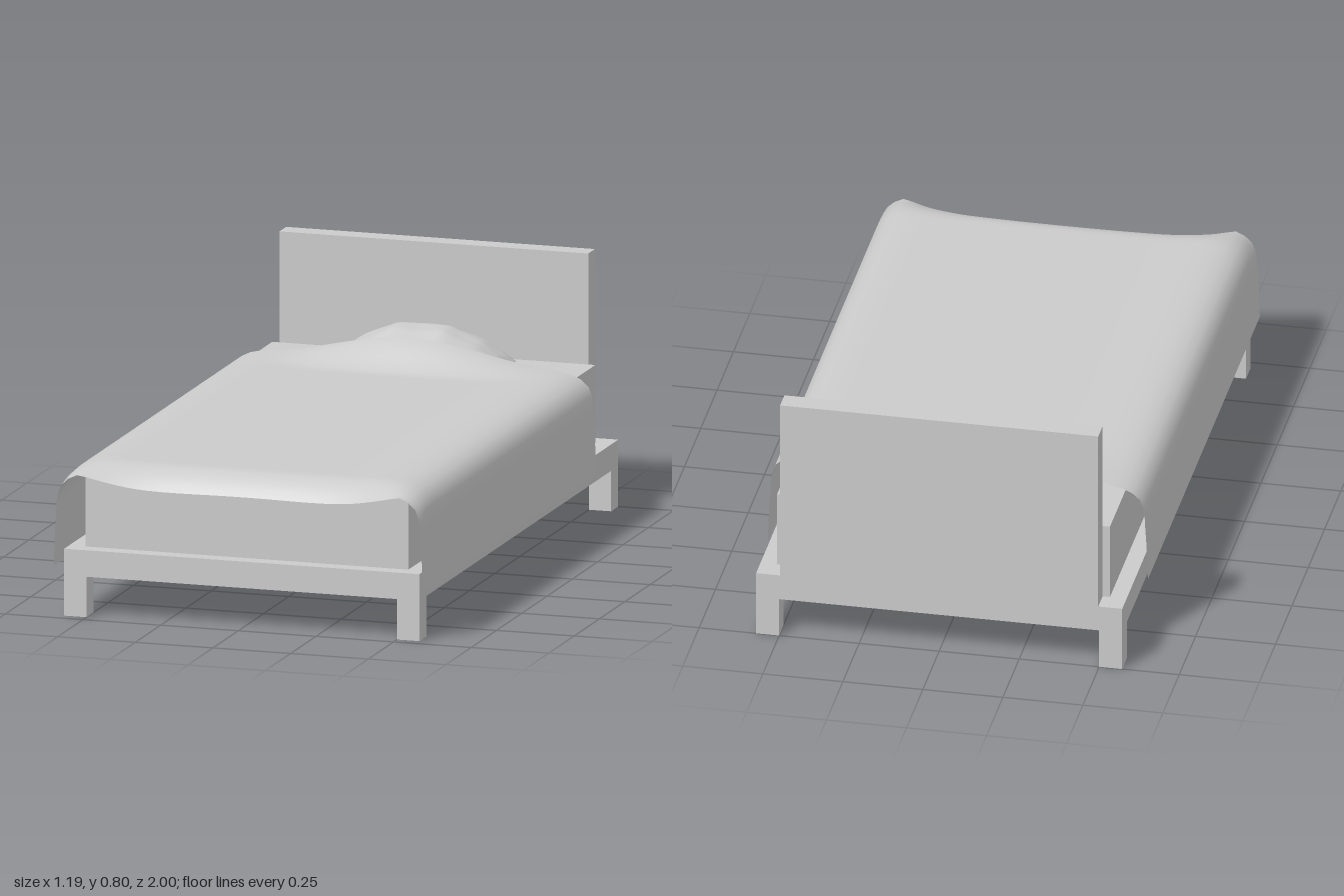
import * as THREE from 'three';

const material = new THREE.MeshStandardMaterial({ color: 0xcccccc });
const clothMaterial = new THREE.MeshStandardMaterial({ color: 0xcccccc, side: THREE.DoubleSide });

// Box given by its lower and upper limits on each axis
function box(name, [x0, x1], [y0, y1], [z0, z1]) {
  const mesh = new THREE.Mesh(new THREE.BoxGeometry(x1 - x0, y1 - y0, z1 - z0), material);
  mesh.position.set((x0 + x1) / 2, (y0 + y1) / 2, (z0 + z1) / 2);
  mesh.name = name;
  return mesh;
}

// Smooth cloth surface: place(u, v) returns [x, y, z] for u, v in 0..1
function cloth(name, columns, rows, place) {
  const geometry = new THREE.PlaneGeometry(1, 1, columns, rows);
  const position = geometry.attributes.position;
  for (let i = 0; i < position.count; i++) {
    position.setXYZ(i, ...place(position.getX(i) + 0.5, 0.5 - position.getY(i)));
  }
  geometry.computeVertexNormals();
  const mesh = new THREE.Mesh(geometry, clothMaterial);
  mesh.name = name;
  return mesh;
}

// Linear interpolation through [t, value] points
function along(points, t) {
  let i = 1;
  while (i < points.length - 1 && t > points[i][0]) i++;
  const [a, b] = [points[i - 1], points[i]];
  return THREE.MathUtils.mapLinear(THREE.MathUtils.clamp(t, a[0], b[0]), a[0], b[0], a[1], b[1]);
}

// Blanket: flat over the mattress, hanging at the sides, raised over the pillow
function blanket() {
  const hang = new THREE.CatmullRomCurve3([
    [0, 0.475], [0.3, 0.476], [0.48, 0.477], [0.535, 0.463], [0.573, 0.43], [0.587, 0.32], [0.594, 0.163],
  ].map(([x, y]) => new THREE.Vector3(x, y, 0)));
  return cloth('blanket', 56, 80, (u, v) => {
    const side = u * 2 - 1;
    const section = hang.getPointAt(Math.abs(side));
    const across = Math.min(section.x / 0.52, 1);
    const inner = Math.cos(across * Math.PI / 2) ** 2;
    const back = -0.715 + 0.025 * inner;
    const front = 1 - 0.028 * (1 - across ** 2);
    const z = THREE.MathUtils.lerp(back, front, v);
    const hump = 0.08 * inner * (1 - THREE.MathUtils.smoothstep(z, -0.7, -0.52));
    const foot = THREE.MathUtils.clamp((z - 0.86) / 0.112, 0, 1.2);
    const droop = foot ** 2 * (0.012 + 0.05 * (1 - across ** 3)) * (section.y > 0.4 ? 1 : 0);
    return [Math.sign(side) * section.x, section.y + hump - droop, z];
  });
}

// Pillow: soft wedge, highest near the headboard and thin under the blanket
function pillow() {
  const profile = [[0, 0], [0.03, 0.07], [0.1, 0.098], [0.25, 0.114], [0.42, 0.108], [0.6, 0.085], [0.8, 0.04], [1, 0]];
  const width = [[0, 0], [0.05, 0.2], [0.3, 0.62], [0.7, 1], [1, 1]];
  return cloth('pillow', 36, 30, (u, v) => {
    const side = u * 2 - 1;
    const wrinkle = 0.003 * Math.sin(side * 11 + v * 5) * Math.sin(v * 13) * (1 - side * side);
    const height = along(profile, v) * along(width, 1 - Math.abs(side)) + wrinkle;
    const back = -0.932 + 0.03 * side ** 4;
    const x = side * (0.265 + 0.01 * Math.abs(v * 2 - 1));
    return [x, 0.456 + Math.max(height, 0), THREE.MathUtils.lerp(back, -0.56, v)];
  });
}

export function createModel() {
  const bed = new THREE.Group();
  bed.name = 'bed';

  // Platform and four corner legs
  bed.add(box('bedFrame', [-0.572, 0.572], [0.127, 0.21], [-1, 0.965]));
  for (const [x, sideName] of [[-0.536, 'Right'], [0.536, 'Left']]) {
    for (const [z, endName] of [[-0.965, 'back'], [0.93, 'front']]) {
      bed.add(box(endName + sideName + 'Leg', [x - 0.036, x + 0.036], [0, 0.127], [z - 0.035, z + 0.035]));
    }
  }

  bed.add(box('headboard', [-0.497, 0.497], [0.21, 0.803], [-1, -0.934]));
  bed.add(box('mattress', [-0.52, 0.52], [0.21, 0.455], [-0.933, 0.915]));

  bed.add(pillow(), blanket());
  return bed;
}
